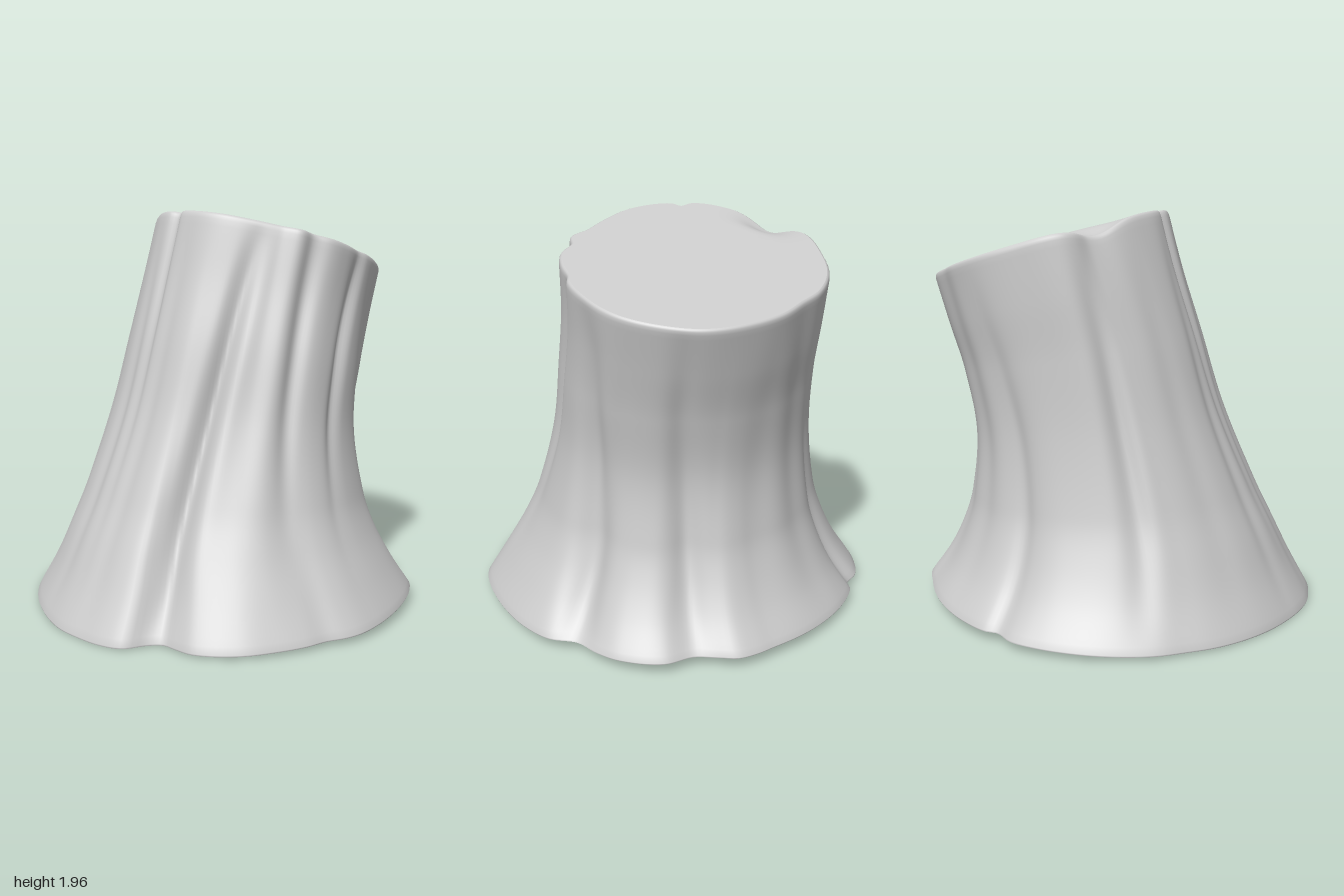
import * as THREE from 'three';

const SEGMENTS = 270, RINGS = 64;

// Outlines as [degrees, relative radius]; 0 is the front, 90 is +x
const BASE = [[0, .997], [8, .999], [17, 1.003], [23.5, .985], [28, .92], [33, .89], [37, .92], [43, .97], [55, .993],
  [65, .985], [74, .98], [80, .972], [86, .995], [91, 1.003], [99, .995], [107, .987], [116, .985], [128, .99],
  [137, .985], [145, .938], [153, .98], [160, 1.008], [172, 1.01], [180, .955], [187, .98], [192, 1.01],
  [198, 1.005], [204, .99], [215, .985], [227, .985], [237, .987], [246, .985], [250, .962], [256, 1], [264, 1.005],
  [272, 1.003], [282, 1], [296, .992], [304, .978], [312, .976], [328, .97], [342, .973], [352, .985]];
const TOP = [[0, .935], [4, .985], [11, 1], [26, .995], [42, .96], [56, .955], [65, 1.01], [72, .965], [81, 1.01],
  [91, 1], [101, .975], [107, 1], [121, 1], [140, 1.01], [159, 1], [177, 1.005], [198, .985], [214, .985],
  [227, .975], [239, 1.01], [255, 1.02], [274, 1.005], [292, 1.025], [300, 1.01], [308, .94], [322, .95],
  [337, .965], [349, .99], [355, .985]];

// Extents of the trunk by height: [t, front z, back z, right x, left x]
const EXTENTS = [[0, 1, -1, 1, -1], [.1, .89, -.89, .885, -.88], [.2, .795, -.812, .78, -.795],
  [.3, .7, -.763, .702, -.737], [.5, .535, -.73, .61, -.682], [.7, .415, -.787, .572, -.667],
  [.85, .325, -.86, .55, -.675], [1, .245, -.935, .55, -.68]];

// Bark grooves: [angle at base, angle at top, width, depth, height of deepest point]
const GROOVES = [[31, 46, 5, .12, .5], [45, 62, 10, .03, .5], [76, 73, 4, .04, .65], [97, 101, 3, .04, .75],
  [145, 124, 7, .1, .36], [180, 169, 6, .07, .45], [252, 246, 8, .04, .35], [292, 302, 5, .07, .55],
  [322, 330, 7, .02, .5], [347, 352, 4, .025, .5], [8, 12, 4, .02, .5], [205, 212, 8, .02, .5],
  [228, 229, 7, .02, .45]];

// Smooth cubic curve through the points (x in column 0, value in column col)
function smooth(points, x, col = 1) {
  let i = 0;
  while (i < points.length - 2 && x > points[i + 1][0]) i++;
  const slope = k => {
    const a = points[Math.max(k - 1, 0)], b = points[Math.min(k + 1, points.length - 1)];
    return (b[col] - a[col]) / (b[0] - a[0]);
  };
  const p = points[i], q = points[i + 1], h = q[0] - p[0], u = (x - p[0]) / h, v = 1 - u;
  return p[col] * v * v * (1 + 2 * u) + q[col] * u * u * (3 - 2 * u)
    + h * u * v * (slope(i) * v - slope(i + 1) * u);
}

// Repeat the ends so an outline closes smoothly
function closed(list) {
  const shift = (p, d) => [p[0] + d, p[1]];
  return [shift(list.at(-1), -360), ...list, shift(list[0], 360), shift(list[1], 360)];
}
const base = closed(BASE), top = closed(TOP);

// Bell curve around an angle, wrapping at 360
function bell(deg, centre, width) {
  const away = ((deg - centre + 540) % 360) - 180;
  return Math.exp(-((away / width) ** 2));
}

function radius(deg, t) {
  let r = 1 + (smooth(base, deg) - 1) * (1 - t) ** 1.3 + (smooth(top, deg) - 1) * t ** 1.3;
  // fuller diagonals at mid height
  r += .03 * Math.sin(Math.PI * t) * Math.sin(THREE.MathUtils.degToRad(2 * deg)) ** 2;
  for (const [a0, a1, width, depth, peak] of GROOVES) {
    const fade = Math.sin(Math.PI * t ** (Math.log(.5) / Math.log(peak)));
    r -= depth * fade * bell(deg, a0 + (a1 - a0) * t, width);
  }
  return r;
}

// Point on the bark, or inside it by an inset; the cut planes tilt, so height depends on depth too
function barkPoint(deg, t, inset = 0) {
  const [front, back, right, left] = [1, 2, 3, 4].map(c => smooth(EXTENTS, t, c));
  const a = THREE.MathUtils.degToRad(deg), r = radius(deg, t) - inset;
  const nx = r * Math.sin(a), nz = r * Math.cos(a);
  // worn dip in the top rim
  const dip = .055 * THREE.MathUtils.smoothstep(r, .68, .92) * t ** 8 * bell(deg, 313, 13);
  return [(right + left) / 2 + nx * (right - left) / 2,
    THREE.MathUtils.lerp(.04 - .03 * nz, 1.81 + .17 * nz, t) - dip,
    (front + back) / 2 + nz * (front - back) / 2];
}

// Surface through a stack of rings, each a function of the angle
function loft(rings) {
  const positions = [], index = [];
  rings.forEach((ring, i) => {
    for (let j = 0; j < SEGMENTS; j++) {
      positions.push(...ring(j * 360 / SEGMENTS));
      if (i === rings.length - 1) continue;
      const a = i * SEGMENTS + j, b = i * SEGMENTS + (j + 1) % SEGMENTS;
      index.push(a, b, a + SEGMENTS, b, b + SEGMENTS, a + SEGMENTS);
    }
  });
  const g = new THREE.BufferGeometry();
  g.setAttribute('position', new THREE.Float32BufferAttribute(positions, 3));
  g.setIndex(index);
  g.computeVertexNormals();
  return g;
}

// Heights and insets from base to top, the outermost drawn in to round the rims
const levels = [[0, .008], [.004, .001]];
for (let i = 1; i < RINGS; i++) levels.push([.006 + .978 * i / RINGS, 0]);
levels.push([.984, 0], [.993, .004], [.998, .013], [1, .025]);

// Rings of a cut, from the rim to near the centre
function cutRings([t, inset]) {
  return [1, .95, .9, .85, .8, .75, .7, .6, .0001].map(s =>
    deg => barkPoint(deg, t, radius(deg, t) * (1 - s) + inset * s));
}

export function createModel() {
  const group = new THREE.Group();
  group.name = 'treeStump';
  const material = new THREE.MeshStandardMaterial({ color: 0xcccccc });
  const add = (name, rings) => {
    const mesh = new THREE.Mesh(loft(rings), material);
    mesh.name = name;
    group.add(mesh);
  };
  add('bark', levels.map(([t, inset]) => deg => barkPoint(deg, t, inset)));
  add('topCut', cutRings(levels.at(-1)));
  add('underside', cutRings(levels[0]).reverse());
  return group;
}
